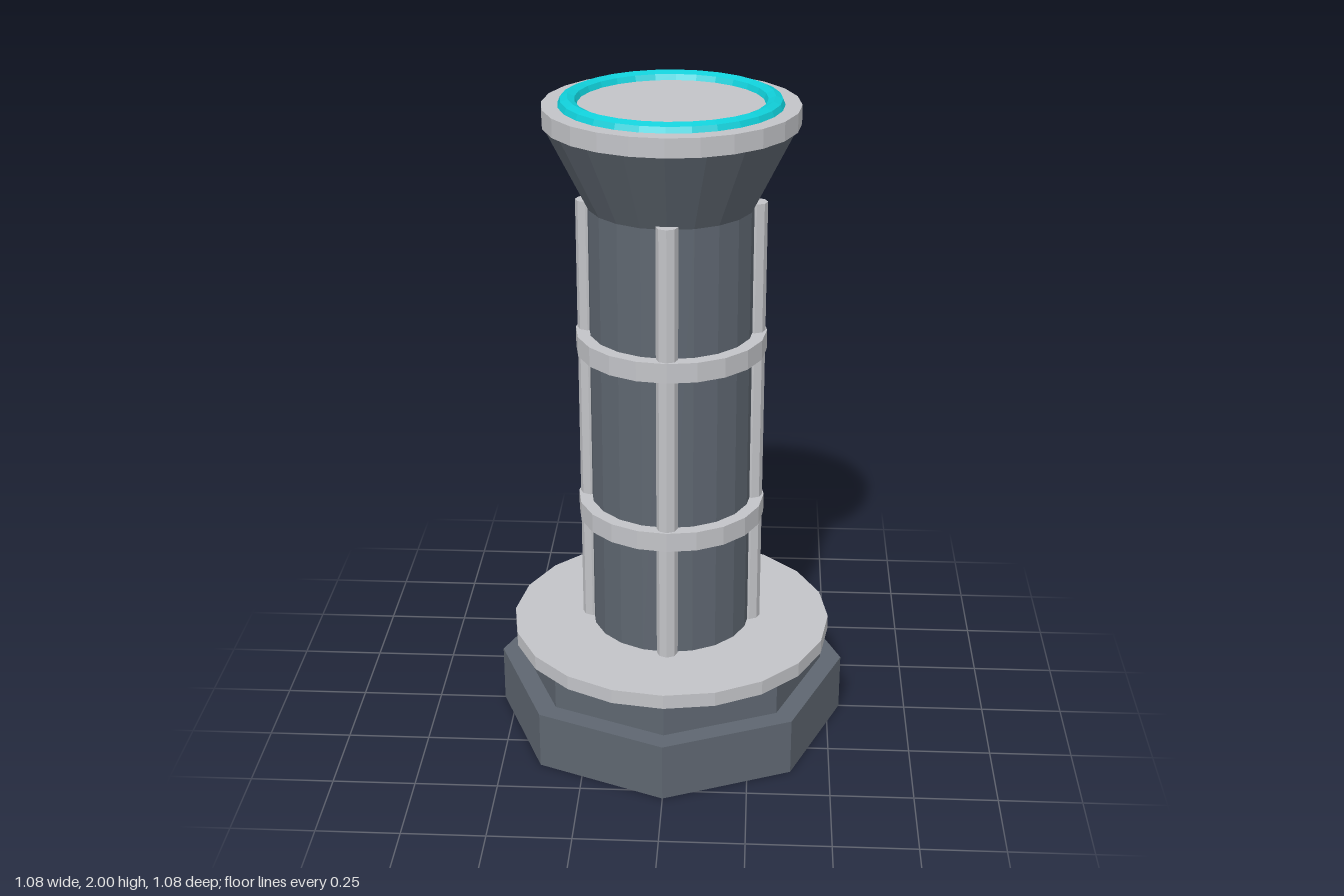
import * as THREE from 'three';

export function createModel() {
  const model = new THREE.Group();
  model.name = 'pedestalColumn';

  const material = (name, color) => {
    const m = new THREE.MeshStandardMaterial({ color, flatShading: true });
    m.name = name;
    return m;
  };
  const darkMetal = material('dark slate metal', 0x5e6670);
  const lightMetal = material('light grey metal', 0xc2c3c7);
  const glow = material('cyan glow', 0x10ced8);

  // Upright round or polygonal part between two heights
  const drum = (name, mat, rBottom, rTop, y0, y1, sides = 20, x = 0, z = 0) => {
    const mesh = new THREE.Mesh(new THREE.CylinderGeometry(rTop, rBottom, y1 - y0, sides), mat);
    mesh.name = name;
    mesh.position.set(x, (y0 + y1) / 2, z);
    model.add(mesh);
  };

  // Stepped octagonal foot with round plate
  drum('baseStep', darkMetal, 0.54, 0.54, 0, 0.18, 8);
  drum('upperStep', darkMetal, 0.475, 0.475, 0.18, 0.285, 8);
  drum('basePlate', lightMetal, 0.495, 0.495, 0.285, 0.33);

  // Shaft, flared head and cap
  drum('shaft', darkMetal, 0.245, 0.245, 0.33, 1.68);
  drum('flaredHead', darkMetal, 0.245, 0.365, 1.68, 1.92);
  drum('cap', lightMetal, 0.37, 0.37, 1.92, 1.975, 24);

  // Four vertical rods around the shaft
  for (let i = 0; i < 4; i++) {
    const a = (i * Math.PI) / 2;
    drum('rod', lightMetal, 0.032, 0.032, 0.33, 1.69, 8, 0.247 * Math.sin(a), 0.247 * Math.cos(a));
  }

  // Two bands clasping the rods
  for (const y of [0.695, 1.235]) drum('band', lightMetal, 0.284, 0.284, y, y + 0.06);

  // Ring set into the cap
  const ring = new THREE.Mesh(new THREE.TorusGeometry(0.295, 0.029, 8, 28), glow);
  ring.name = 'glowRing';
  ring.rotation.x = -Math.PI / 2;
  ring.position.y = 1.971;
  model.add(ring);

  return model;
}
